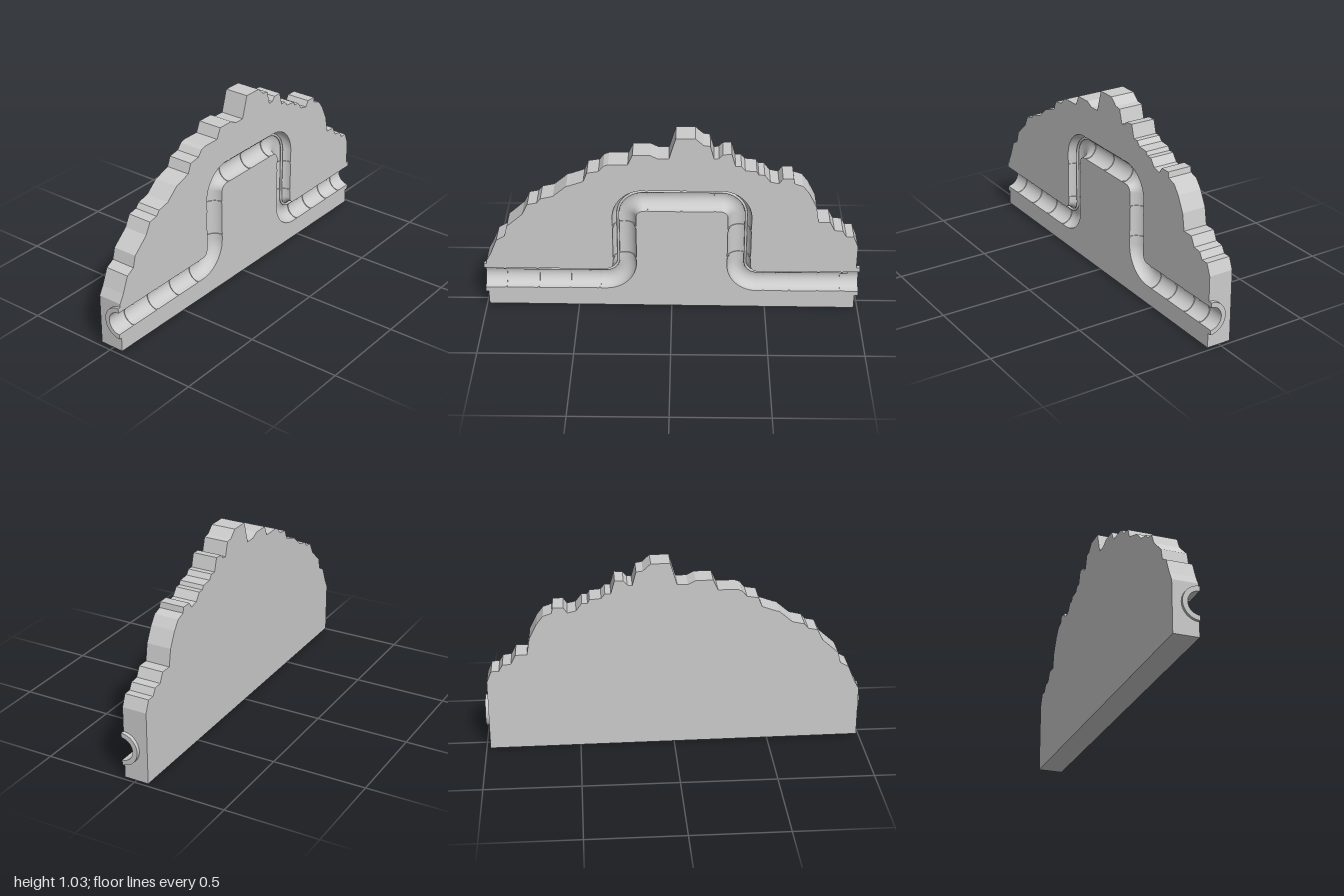
import * as THREE from 'three';

const F = 0.067, B = -0.066, R = 0.062;       // front plane, back plane, channel radius
const XL = -0.985, XR = 0.98;                 // slab ends
const YL = 0.178, YR = 0.168, YT = 0.66;      // channel centre heights
const X1 = -0.249, X2 = 0.355, BEND = 0.1;    // vertical legs and bend radius

const grey = new THREE.MeshStandardMaterial({ color: 0xcccccc });
const greyDouble = new THREE.MeshStandardMaterial({ color: 0xcccccc, side: THREE.DoubleSide });

// Craggy top edge of the slab, from left end to right end
const crag = [
  [XL, 0.285], [-0.96, 0.33], [-0.925, 0.415], [-0.88, 0.44], [-0.865, 0.5], [-0.825, 0.535],
  [-0.78, 0.575], [-0.75, 0.635], [-0.7, 0.645], [-0.68, 0.67], [-0.615, 0.685], [-0.545, 0.745],
  [-0.525, 0.75], [-0.455, 0.775], [-0.435, 0.825], [-0.375, 0.835], [-0.35, 0.865], [-0.325, 0.875],
  [-0.225, 0.875], [-0.2, 0.93], [-0.11, 0.93], [-0.07, 0.91], [-0.015, 0.91], [0.02, 1.027],
  [0.12, 1.027], [0.16, 0.99], [0.195, 0.985], [0.215, 0.912], [0.24, 0.915], [0.26, 0.937],
  [0.305, 0.94], [0.325, 0.87], [0.355, 0.87], [0.375, 0.845], [0.435, 0.84], [0.445, 0.82],
  [0.475, 0.82], [0.505, 0.78], [0.55, 0.77], [0.57, 0.8], [0.625, 0.8], [0.63, 0.77],
  [0.675, 0.755], [0.71, 0.71], [0.75, 0.63], [0.765, 0.54], [0.825, 0.54], [0.85, 0.49],
  [0.895, 0.485], [0.915, 0.45], [0.955, 0.45], [XR, 0.388],
].map(([x, y]) => new THREE.Vector2(x, y));
const base = [new THREE.Vector2(XR, 0), new THREE.Vector2(XL, 0.012)];

// Channel centreline: points with the unit normal on the left of travel
function channelPath(x0, x1) {
  const path = [];
  const add = (x, y, heading) =>
    path.push({ p: new THREE.Vector2(x, y), n: new THREE.Vector2(-Math.sin(heading), Math.cos(heading)) });
  const bend = (cx, cy, from, to) => {
    const turn = Math.sign(to - from);
    for (let i = 0; i <= 14; i++) {
      const h = from + ((to - from) * i) / 14;
      add(cx + turn * BEND * Math.sin(h), cy - turn * BEND * Math.cos(h), h);
    }
  };
  const Q = Math.PI / 2;
  add(x0, YL, 0);
  bend(X1 - BEND, YL + BEND, 0, Q);
  bend(X1 + BEND, YT - BEND, Q, 0);
  bend(X2 - BEND, YT - BEND, 0, -Q);
  bend(X2 + BEND, YR + BEND, -Q, 0);
  add(x1, YR, 0);
  return path;
}
const offset = ({ p, n }, d) => p.clone().addScaledVector(n, d);

// Surface through rows of points
function grid(rows, flat) {
  const m = rows[0].length, index = [];
  for (let i = 0; i < rows.length - 1; i++)
    for (let j = 0; j < m - 1; j++) {
      const a = i * m + j, b = a + m;
      index.push(a, a + 1, b, b, a + 1, b + 1);
    }
  let g = new THREE.BufferGeometry().setFromPoints(rows.flat());
  g.setIndex(index);
  if (flat) g = g.toNonIndexed();
  g.computeVertexNormals();
  return g;
}

// Half ring set into the front plane, pointing along the channel
function halfRing(inner, outer, length, x, y, heading) {
  const s = new THREE.Shape();
  s.absarc(0, 0, outer, Math.PI, 2 * Math.PI, false);
  s.absarc(0, 0, inner, 2 * Math.PI, Math.PI, true);
  const g = new THREE.ExtrudeGeometry(s, { depth: length, bevelEnabled: false, curveSegments: 24 });
  const c = Math.cos(heading), k = Math.sin(heading);
  g.translate(0, 0, -length / 2);
  g.applyMatrix4(new THREE.Matrix4().makeBasis(
    new THREE.Vector3(-k, c, 0), new THREE.Vector3(0, 0, 1), new THREE.Vector3(c, k, 0)
  ).setPosition(x, y, F));
  return g;
}

// Slab end with a half-round opening
function endWall(side, x, y0, y1, yc) {
  const f = -side, pts = [[f * B, y0], [f * F, y0]];
  for (let i = 0; i <= 24; i++) {
    const a = (Math.PI * i) / 24;
    pts.push([f * (F - R * Math.sin(a)), yc - R * Math.cos(a)]);
  }
  pts.push([f * F, y1], [f * B, y1]);
  const g = new THREE.ShapeGeometry(new THREE.Shape(pts.map(q => new THREE.Vector2(...q))));
  return g.rotateY((side * Math.PI) / 2).translate(x, 0, 0);
}

export function createModel() {
  const model = new THREE.Group();
  const add = (name, geometry, material = grey, parent = model) => {
    const mesh = new THREE.Mesh(geometry, material);
    mesh.name = name;
    parent.add(mesh);
  };

  // Slab: front in two pieces either side of the channel
  const facePath = channelPath(XL, XR);
  const upper = [...facePath.map(q => offset(q, R)), ...[...crag].reverse()];
  const lower = [...facePath.map(q => offset(q, -R)), ...base];
  add('upperFront', new THREE.ShapeGeometry(new THREE.Shape(upper)).translate(0, 0, F));
  add('lowerFront', new THREE.ShapeGeometry(new THREE.Shape(lower)).translate(0, 0, F));
  const mirrored = [...crag, ...base].map(p => new THREE.Vector2(-p.x, p.y));
  add('back', new THREE.ShapeGeometry(new THREE.Shape(mirrored)).rotateY(Math.PI).translate(0, 0, B));
  const edgeRows = pts => pts.map(p => [new THREE.Vector3(p.x, p.y, B), new THREE.Vector3(p.x, p.y, F)]);
  add('craggyTop', grid(edgeRows(crag), true));
  add('underside', grid(edgeRows(base), true));
  add('leftEnd', endWall(1, XR, 0, 0.388, YR));
  add('rightEnd', endWall(-1, XL, 0.012, 0.285, YL));

  // Half-round channel
  const rows = channelPath(-1, 1).map(q => Array.from({ length: 25 }, (_, j) => {
    const a = (Math.PI * j) / 24, p = offset(q, R * Math.cos(a));
    return new THREE.Vector3(p.x, p.y, F - R * Math.sin(a));
  }));
  add('channel', grid(rows, false), greyDouble);

  // Collars at the open ends
  add('leftCollar', halfRing(R, 0.088, 0.02, 0.99, YR, 0));
  add('rightCollar', halfRing(R, 0.088, 0.015, -0.9925, YL, 0));

  // Joint ridges inside the channel
  const joints = new THREE.Group();
  joints.name = 'joints';
  model.add(joints);
  const up = Math.PI / 2;
  const spots = [
    ...[-0.89, -0.715, -0.545, -0.385].map(x => [x, YL, 0]),
    ...[0.305, 0.5].map(y => [X1, y, up]),
    ...[-0.13, 0.05, 0.225].map(x => [x, YT, 0]),
    ...[0.485, 0.315].map(y => [X2, y, -up]),
    ...[0.49, 0.63, 0.78, 0.905].map(x => [x, YR, 0]),
  ];
  for (const s of spots) add('joint', halfRing(R - 0.004, R + 0.001, 0.01, ...s), grey, joints);

  // Thin cable along the wall of the channel
  const cable = new THREE.CurvePath();
  const line = channelPath(-0.94, 0.94).map(q => {
    const p = offset(q, 0.034);
    return new THREE.Vector3(p.x, p.y, F - 0.042);
  });
  for (let i = 1; i < line.length; i++) cable.add(new THREE.LineCurve3(line[i - 1], line[i]));
  add('cable', new THREE.TubeGeometry(cable, 260, 0.007, 8), greyDouble);

  return model;
}
